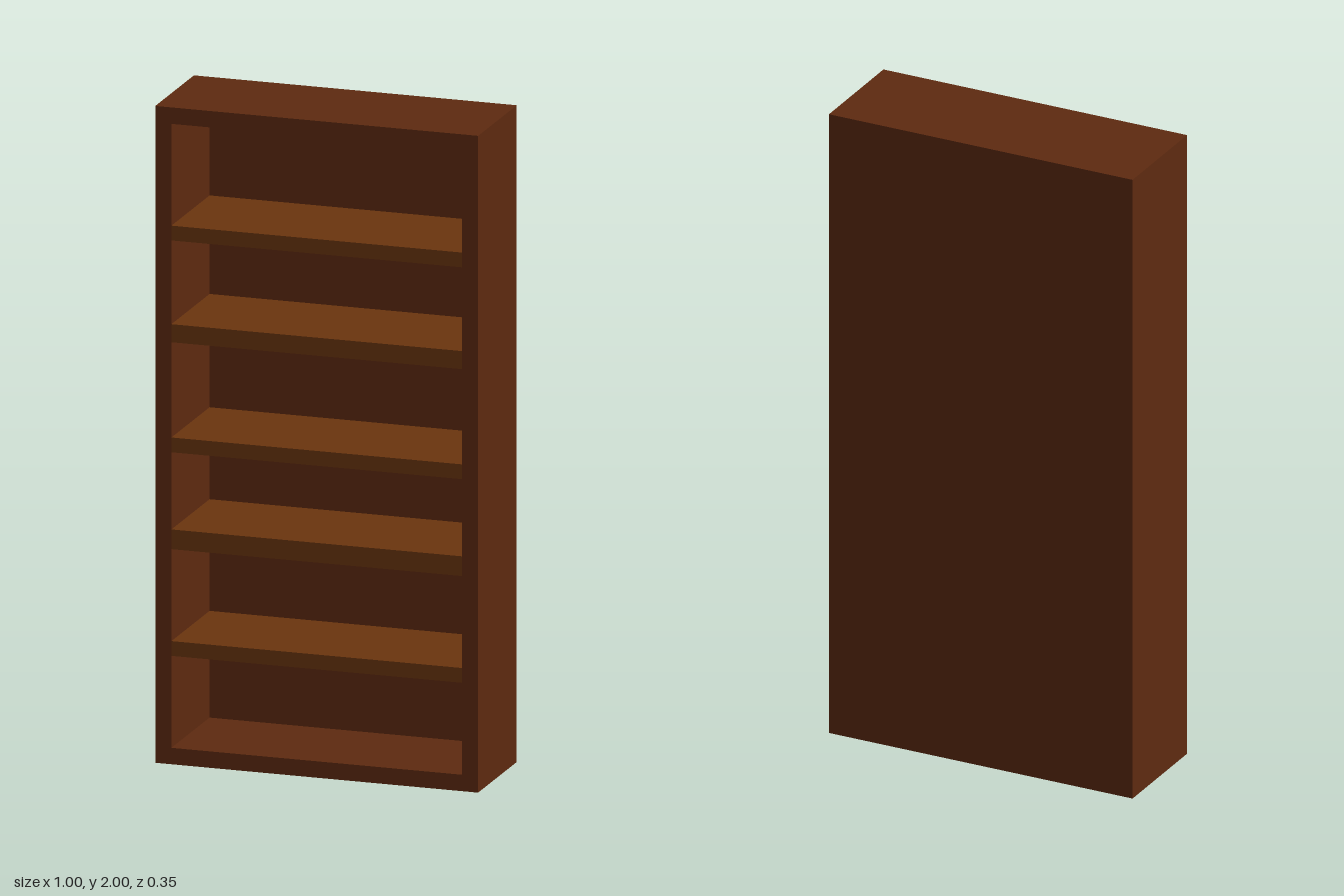
import * as THREE from 'three';

export function createModel() {
  const W = 1, H = 2, D = 0.35, T = 0.05, BACK = 0.004;
  const bookcase = new THREE.Group();
  bookcase.name = 'bookcase';
  const frameWood = new THREE.MeshStandardMaterial({ color: 0x5e2a10 });
  const shelfWood = new THREE.MeshStandardMaterial({ color: 0x6b350e });

  const add = (name, geometry, material, x, y, z) => {
    const mesh = new THREE.Mesh(geometry, material);
    mesh.name = name;
    mesh.position.set(x, y, z);
    bookcase.add(mesh);
  };

  // Frame: sides, top and floor as one rectangular ring
  const rect = (Type, x, y0, y1) => new Type([
    new THREE.Vector2(-x, y0), new THREE.Vector2(x, y0),
    new THREE.Vector2(x, y1), new THREE.Vector2(-x, y1),
  ]);
  const outline = rect(THREE.Shape, W / 2, 0, H);
  outline.holes.push(rect(THREE.Path, W / 2 - T, T, H - T));
  const depth = D - BACK;
  add('frame', new THREE.ExtrudeGeometry(outline, { depth, bevelEnabled: false }),
    frameWood, 0, 0, -D / 2 + BACK);

  // Thin back panel
  add('backPanel', new THREE.BoxGeometry(W, H, BACK), frameWood, 0, H / 2, -D / 2 + BACK / 2);

  // Shelves, flush with the front: [underside, top]
  const shelves = [[0.33, 0.375], [0.655, 0.715], [0.95, 0.995], [1.285, 1.34], [1.595, 1.64]];
  shelves.forEach(([low, high], i) => {
    add(`shelf${i + 1}`, new THREE.BoxGeometry(W - 2 * T, high - low, depth),
      shelfWood, 0, (low + high) / 2, BACK / 2);
  });

  return bookcase;
}
